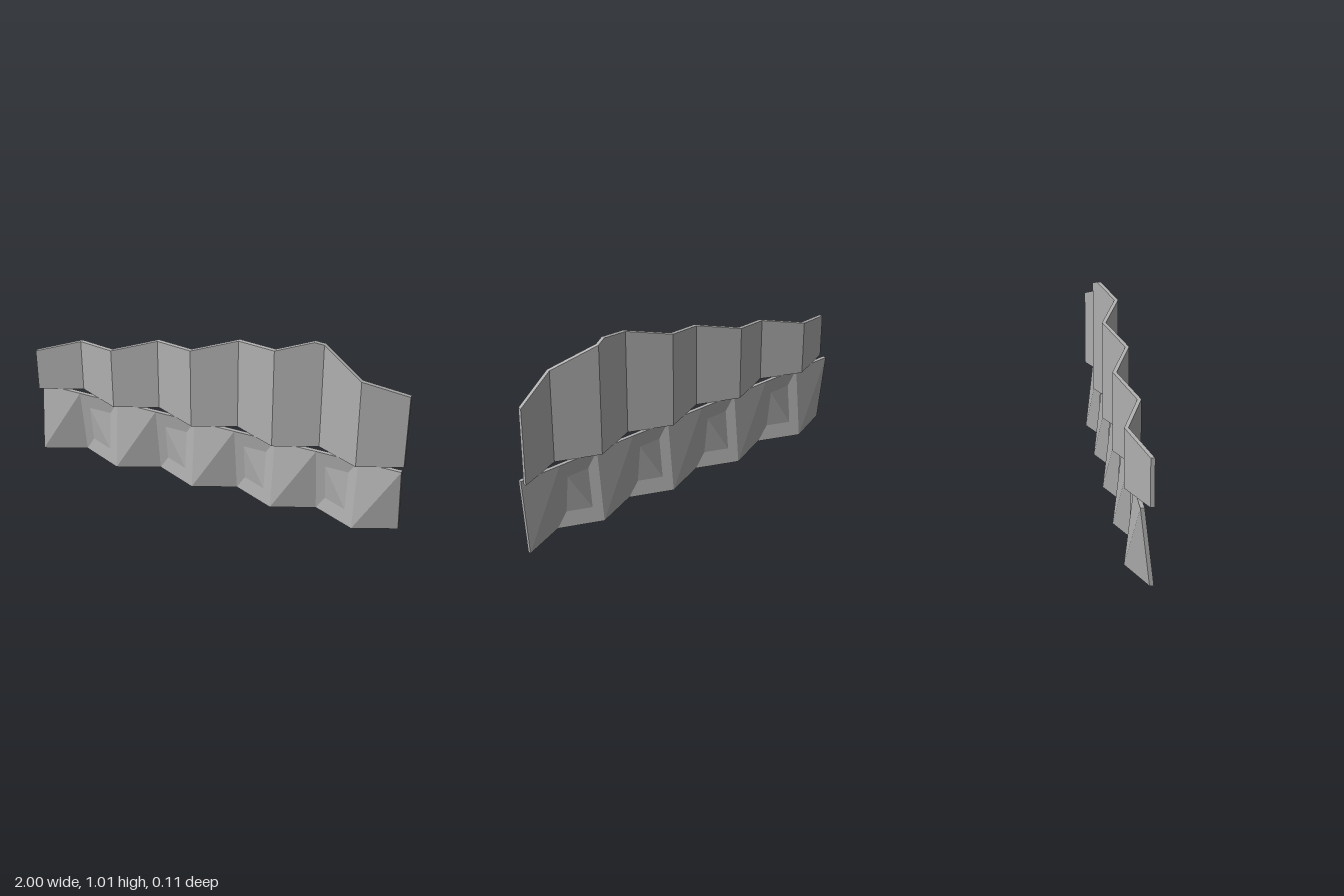
import * as THREE from 'three';

const HALF = 0.01;    // half the sheet thickness
const SPLIT = 0.395;  // height where the two sheets meet
const FOLDS = 9;

// Depth of the zigzag fold line at a given x
function foldZ(x) {
  const t = (x + 1) * FOLDS / 2;
  const i = Math.min(FOLDS - 1, Math.floor(t + 1e-6));
  const z = 0.045 - 0.09 * (t - i);
  return i % 2 ? -z : z;
}

// Closed thin sheet through stations { x, y0, z0, y1, z1 } (bottom and top edge)
function sheet(stations, material, name) {
  const pos = [];
  // every quad is split along its first-to-third corner
  const quad = (a, b, c, d) => pos.push(...a, ...b, ...c, ...a, ...c, ...d);
  const corners = stations.map(s => ({
    fb: [s.x, s.y0, s.z0 + HALF], ft: [s.x, s.y1, s.z1 + HALF],
    bb: [s.x, s.y0, s.z0 - HALF], bt: [s.x, s.y1, s.z1 - HALF],
  }));
  for (let i = 0; i < corners.length - 1; i++) {
    const l = corners[i], r = corners[i + 1];
    quad(l.fb, r.fb, r.ft, l.ft); // front
    quad(r.bb, l.bb, l.bt, r.bt); // back
    quad(l.ft, r.ft, r.bt, l.bt); // top edge
    quad(l.bb, r.bb, r.fb, l.fb); // bottom edge
  }
  const first = corners[0], last = corners[corners.length - 1];
  quad(first.bb, first.fb, first.ft, first.bt);
  quad(last.fb, last.bb, last.bt, last.ft);

  const geometry = new THREE.BufferGeometry();
  geometry.setAttribute('position', new THREE.Float32BufferAttribute(pos, 3));
  geometry.computeVertexNormals();
  const mesh = new THREE.Mesh(geometry, material);
  mesh.name = name;
  return mesh;
}

export function createModel() {
  const group = new THREE.Group();
  group.name = 'foldedScreen';
  const grey = new THREE.MeshStandardMaterial({ color: 0xb0b0b0, side: THREE.DoubleSide });
  grey.name = 'plain grey';

  const foldX = i => -1 + 2 * i / FOLDS;

  // Upper corrugated sheet with a rising, then falling, top edge
  const heights = [0.635, 0.695, 0.745, 0.805, 0.855, 0.915, 0.965, 1.0, 0.9, 0.815];
  const outline = heights.map((y, i) => [foldX(i), y]);
  outline.splice(7, 0, [0.51, 1.015]); // peak lies between two folds
  group.add(sheet(outline.map(([x, y]) => (
    { x, y0: SPLIT, z0: foldZ(x), y1: y, z1: foldZ(x) })), grey, 'upperPanel'));

  // Lower sheet: zigzag at the foot, straight along the top
  group.add(sheet(heights.map((_, i) => (
    { x: foldX(i), y0: 0, z0: foldZ(foldX(i)), y1: SPLIT, z1: 0 })), grey, 'lowerPanel'));

  return group;
}
